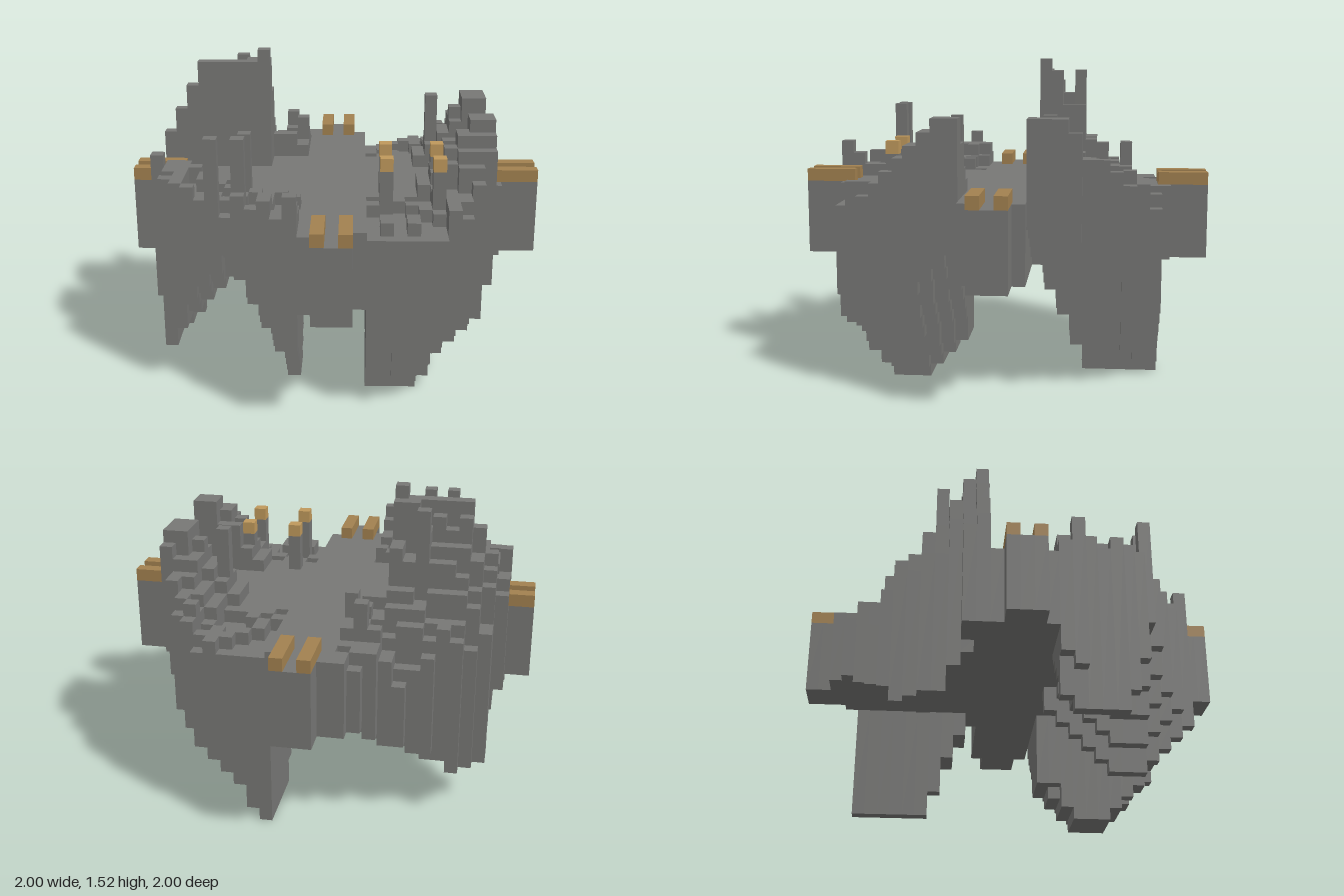
import * as THREE from 'three';

const U = 2 / 33;        // size of one block
const FLOOR = 15, UNDER = 9; // deck top and underside, in blocks

// island outline: widest |x| block for each |z| row, per side
const LEFT_EDGE = [16, 16, 14, 14, 14, 13, 13, 13, 12, 11, 9, 7, 5, 4, 3];
const RIGHT_EDGE = [16, 16, 13, 12, 12, 12, 12, 11, 11, 10, 10, 9, 8];

// height limits by block distance from the centre, starting at 3
const CAP_LEFT = [18, 18, 18, 25, 24, 24, 24, 24, 24, 22, 20, 18];
const CAP_RIGHT = [15, 15, 15, 16, 18, 19, 19, 20, 21, 21, 16];
const CAP_BACK = [25, 24, 23, 24, 18, 18, 17, 18, 16, 16, 16, 16];
const CAP_FRONT = [21, 21, 20, 19, 18, 18, 18, 19, 18, 17, 17, 18];
const SPIKES = {
  '-9,10': 21, '-7,10': 21, '-7,5': 20, '8,-4': 21, '-3,14': 18, '12,-3': 21,
  '-8,-6': 24, '-4,-10': 18, '-3,-8': 18,
};

const clamp = (v, a, b) => Math.min(b, Math.max(a, v));
function noise(i, j) { // repeatable value 0..1
  let h = (i * 374761 + j * 668265 + 1013) | 0;
  h = Math.imul(h ^ (h >>> 13), 1274126177);
  return ((h ^ (h >>> 16)) >>> 0) / 4294967296;
}

// which part a block column belongs to
function partAt(i, j) {
  const a = Math.abs(i), b = Math.abs(j);
  if (a > 16 || b > 16) return null;
  if ((a <= 2 && b <= 13) || (b <= 2 && a <= 13) || (a <= 1) || (b <= 1)) return 'crossDeck';
  const edge = i < 0 ? LEFT_EDGE : RIGHT_EDGE;
  if (b >= edge.length || a > edge[b]) return null;
  if (a <= 2 || b <= 2) return 'crossDeck';
  return (j < 0 ? 'back' : 'front') + (i < 0 ? 'MinusX' : 'PlusX') + 'Island';
}

// ruined wall tops
function topAt(i, j, part) {
  if (part === 'crossDeck') return FLOOR;
  const spike = SPIKES[i + ',' + j];
  if (spike) return spike;
  const a = Math.abs(i), b = Math.abs(j), n = noise(i, j);
  if (a < 6 && b < 6) return FLOOR;
  const capI = (i < 0 ? CAP_LEFT : CAP_RIGHT)[a - 3];
  const capJ = (j < 0 ? CAP_BACK : CAP_FRONT)[b - 3];
  let h, low = 14;
  if (part === 'backMinusXIsland') { // tall wall sloping down to a low rim
    low = 11;
    if (a < 6) h = 16 - (b - 6) * 0.3 + n * 1.5;
    else h = b === 3 ? capI : capI - 1.6 * (b - 3) + n * 2 - 0.5;
  } else if (part === 'frontMinusXIsland') h = FLOOR + (Math.max(a, b) - 7) * 0.3 + n * 2 - 1;
  else {
    const reach = part === 'frontPlusXIsland' ? 6 : 7;
    h = FLOOR + Math.max(a - 6, 0) * (1 - clamp((b - 4) / reach, 0, 1));
    if (a > 8) h += n * 2 - 0.5;
    else if (b >= 6) h -= n * 1.4;
  }
  return Math.round(clamp(h, low, Math.min(capI, capJ)));
}

// hanging rock undersides, arching up to a thin rim
function bottomAt(i, j, part) {
  if (part === 'crossDeck') return UNDER;
  const a = Math.abs(i), b = Math.abs(j), n = noise(i + 50, j - 31);
  const out = (v, c, w) => Math.max(Math.abs(v - c) - w, 0);
  let y, high = 13;
  if (part === 'frontPlusXIsland') y = out(a, 4.5, 1.5) * 1.3 + out(b, 7, 1) * 1.1 + n * 0.8 - 0.4;
  else if (part === 'backPlusXIsland') y = Math.hypot((a - 3) * 1.2, Math.max(7 - b, 0) * 2.3) + n * 0.8 - 0.4;
  else if (part === 'frontMinusXIsland') { // two prongs with a high arch between them
    const outer = 3 + 1.2 * (Math.max(13 - a, (a - 13) * 2.5) + out(b, 5.5, 1.5));
    const inner = 2 + 1.9 * (a - 3) + 0.9 * out(b, 9, 1);
    y = Math.min(outer, inner) + n * 0.4;
    high = a < 6 || b < 6 ? 9 : 12;
  } else {
    y = 4 + out(a, 12, 1) * 0.5 + out(b, 7, 1) * 0.3 + Math.max(6 - b, 0) * 2 + n * 0.6 - 0.3;
    high = 9;
  }
  if (a < 6 && b < 6) high = 9;
  return Math.round(clamp(y, 0, high));
}

function columnAt(i, j) {
  const part = partAt(i, j);
  return part && { part, top: topAt(i, j, part), bottom: bottomAt(i, j, part) };
}

// outer skin of all the columns of one part
function skin(part) {
  const pos = [];
  const quad = (a, b, c, d) => [a, b, c, a, c, d].forEach(p => pos.push(p[0] * U, p[1] * U, p[2] * U));
  for (let i = -16; i <= 16; i++) for (let j = -16; j <= 16; j++) {
    const c = columnAt(i, j);
    if (!c || c.part !== part) continue;
    const x0 = i - 0.5, x1 = i + 0.5, z0 = j - 0.5, z1 = j + 0.5, t = c.top, b = c.bottom;
    quad([x0, t, z1], [x1, t, z1], [x1, t, z0], [x0, t, z0]);
    quad([x0, b, z0], [x1, b, z0], [x1, b, z1], [x0, b, z1]);
    // sides, only where the neighbour leaves them open
    for (const [dx, dz] of [[1, 0], [-1, 0], [0, 1], [0, -1]]) {
      const n = columnAt(i + dx, j + dz);
      const spans = n ? [[b, Math.min(t, n.bottom)], [Math.max(b, n.top), t]] : [[b, t]];
      const cx = i + dx / 2, cz = j + dz / 2, sx = dz / 2, sz = -dx / 2;
      for (const [lo, hi] of spans) if (hi > lo)
        quad([cx - sx, lo, cz - sz], [cx + sx, lo, cz + sz], [cx + sx, hi, cz + sz], [cx - sx, hi, cz - sz]);
    }
  }
  const g = new THREE.BufferGeometry();
  g.setAttribute('position', new THREE.Float32BufferAttribute(pos, 3));
  g.computeVertexNormals();
  return g;
}

export function createModel() {
  const model = new THREE.Group();
  const mat = (name, color) => Object.assign(new THREE.MeshStandardMaterial({ color }), { name });
  const stone = mat('greyStone', 0x777775);
  const timber = mat('brownTimber', 0xa28150);
  const cap = mat('lightTimber', 0xbf995c);

  const add = (name, geometry, material) => {
    const m = new THREE.Mesh(geometry, material);
    m.name = name;
    model.add(m);
    return m;
  };
  const block = (name, w, h, d, x, y, z, material) =>
    add(name, new THREE.BoxGeometry(w * U, h * U, d * U), material).position.set(x * U, y * U, z * U);

  // deck and the four rock islands
  for (const part of ['crossDeck', 'frontPlusXIsland', 'backPlusXIsland', 'frontMinusXIsland', 'backMinusXIsland'])
    add(part, skin(part), stone);

  // paired rails at the end of each arm
  for (const end of [-1, 1]) for (const side of [-1, 1]) {
    block('railAlongX', 4, 1, 1, end * 14.5, 15.5, side, timber);
    block('railAlongZ', 1, 1, 4, side, 15.5, end * 14.5, timber);
  }

  // four capped posts
  for (const i of [4, 8]) for (const j of [4, 8]) {
    block('post', 1, 4, 1, i, 16, j, stone);
    block('postCap', 1, 1, 1, i, 18.5, j, cap);
  }
  return model;
}
